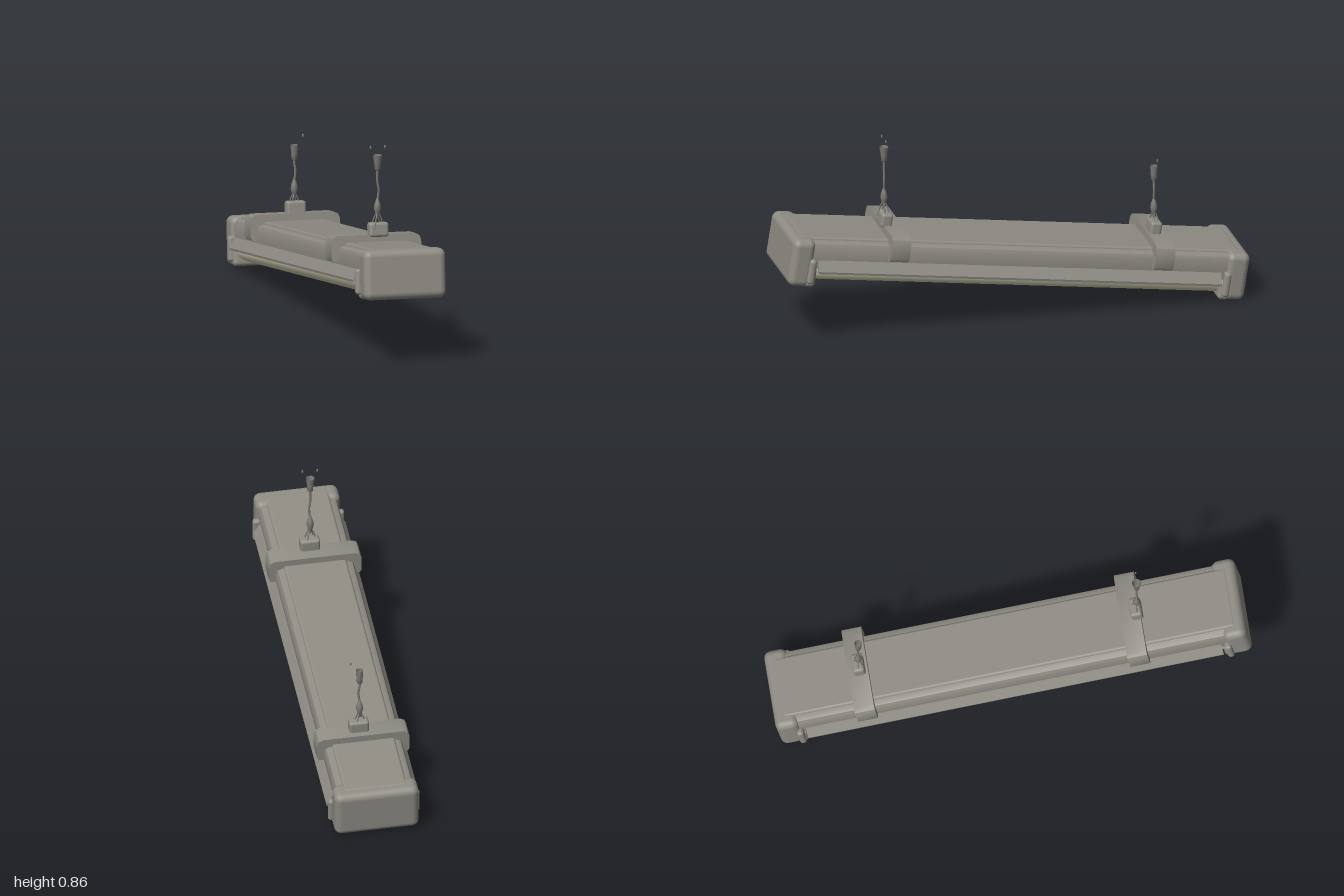
import * as THREE from 'three';
import { RoundedBoxGeometry } from 'three/addons/geometries/RoundedBoxGeometry.js';
import { toCreasedNormals } from 'three/addons/utils/BufferGeometryUtils.js';

const housingMat = new THREE.MeshStandardMaterial({ name: 'grey housing', color: 0x8f8c84 });
const metalMat = new THREE.MeshStandardMaterial({ name: 'dark metal', color: 0x7d7b75, side: THREE.DoubleSide });
const lensMat = new THREE.MeshStandardMaterial({ name: 'cream diffuser', color: 0xd6d2b4 });

function add(parent, name, geometry, material, x = 0, y = 0, z = 0) {
  const mesh = new THREE.Mesh(geometry, material);
  mesh.name = name;
  mesh.position.set(x, y, z);
  parent.add(mesh);
  return mesh;
}

// Extrudes a cross-section given as [z, y] points along the lamp's length
function alongX(points, length) {
  const shape = new THREE.Shape(points.map(([z, y]) => new THREE.Vector2(-z, y)));
  const g = new THREE.ExtrudeGeometry(shape, { depth: length, bevelEnabled: false });
  g.translate(0, 0, -length / 2).rotateY(Math.PI / 2);
  return toCreasedNormals(g, 0.6);
}

// Completes a half profile by mirroring it across z = 0
const mirrored = (half) => [...half, ...half.map(([z, y]) => [-z, y]).reverse()];

const box = (w, h, d, r) => new RoundedBoxGeometry(w, h, d, 4, r);

function rod(parent, name, points, radius) {
  const curve = new THREE.CatmullRomCurve3(points.map((p) => new THREE.Vector3(...p)));
  return add(parent, name, new THREE.TubeGeometry(curve, 10, radius, 6), metalMat);
}

// Vertical hanging wire with a knot, a flared top link and loose fragments
function hanger(x, y, z, height, flare, bits) {
  const g = new THREE.Group();
  g.name = 'hangingWire';
  g.position.set(x, y, z);
  for (const sx of [-1, 1]) for (const sz of [-1, 1]) {
    rod(g, 'wireLeg', [[sx * 0.012, -0.02, sz * 0.026], [sx * 0.008, 0.025, sz * 0.014], [0, 0.06, 0]], 0.003);
  }
  const knot = [[0.001, 0.025], [0.009, 0.045], [0.016, 0.07], [0.012, 0.09], [0.005, 0.11], [0.001, 0.125]];
  add(g, 'wireKnot', new THREE.LatheGeometry(knot.map((p) => new THREE.Vector2(...p)), 10), metalMat);
  rod(g, 'wire', [[0, 0.1, 0], [0.003, 0.15, -0.004], [0, 0.18, 0], [0, height - 0.055, 0]], 0.005);
  const link = [[0.002, height - 0.07], [0.012, height - 0.062], [0.014, height - 0.035], [flare, height]];
  add(g, 'topLink', new THREE.LatheGeometry(link.map((p) => new THREE.Vector2(...p)), 8), metalMat);
  for (const [bx, by, bz] of bits) {
    add(g, 'wireFragment', new THREE.SphereGeometry(0.006, 6, 5), metalMat, bx, by, bz).scale.set(0.7, 1.4, 0.7);
  }
  return g;
}

export function createModel() {
  const model = new THREE.Group();
  model.name = 'hangingLamp';

  // Tilted lamp body, built straight along x
  const lamp = new THREE.Group();
  lamp.name = 'lamp';
  lamp.position.y = 0.26;
  lamp.rotation.set(-0.026, -0.402, 0.148, 'YZX');
  model.add(lamp);

  const body = mirrored([[0.16, -0.04], [0.168, 0.0], [0.168, 0.07], [0.16, 0.088], [0.142, 0.097]]);
  add(lamp, 'housing', alongX(body, 1.9), housingMat);
  add(lamp, 'topPanel', box(1.96, 0.03, 0.27, 0.012), housingMat, 0, 0.093, 0);

  // Diffuser trough under the housing
  const lens = mirrored([[0.168, -0.025], [0.166, -0.045], [0.154, -0.066], [0.128, -0.083], [0.09, -0.092], [0.04, -0.096]].reverse());
  add(lamp, 'diffuser', alongX(lens, 1.84), lensMat);

  // Folded side flanges above the diffuser
  for (const s of [-1, 1]) {
    const flange = [[0.16, 0.018], [0.172, 0.018], [0.199, -0.024], [0.197, -0.034], [0.188, -0.03], [0.16, 0.0]];
    add(lamp, 'sideFlange', alongX(flange.map(([z, y]) => [s * z, y]), 1.8), housingMat);
  }

  // End caps and the holders that clip the diffuser
  for (const s of [-1, 1]) {
    add(lamp, 'endCap', box(0.1, 0.212, 0.362, 0.03), housingMat, s * 0.97, 0, 0);
    add(lamp, 'diffuserHolder', box(0.05, 0.09, 0.36, 0.018), housingMat, s * 0.925, -0.06, 0);
    for (const side of [-1, 1]) {
      add(lamp, 'holderEar', box(0.03, 0.11, 0.04, 0.013), housingMat, s * 0.927, -0.03, side * 0.177);
    }
  }

  // Mounting straps wrapped over the top, each with a hanger block
  const strap = mirrored([[0.172, 0.03], [0.192, 0.03], [0.199, 0.045], [0.199, 0.108], [0.191, 0.128], [0.172, 0.138]])
    .concat([[-0.165, 0.03], [-0.165, 0.09], [0.165, 0.09], [0.165, 0.03]]);
  for (const [x, blockX] of [[-0.63, -0.623], [0.55, 0.58]]) {
    add(lamp, 'mountingStrap', alongX(strap, 0.085), housingMat, x, 0, 0);
    add(lamp, 'hangerBlock', box(0.05, 0.062, 0.085, 0.012), housingMat, blockX, 0.158, -0.012);
  }

  // Hanging wires stay vertical
  model.add(hanger(-0.585, 0.338, -0.262, 0.26, 0.016, [[0.012, 0.297, -0.038]]));
  model.add(hanger(0.514, 0.525, 0.204, 0.3, 0.02, [[-0.012, 0.335, 0.028], [0.014, 0.335, -0.03]]));
  return model;
}
